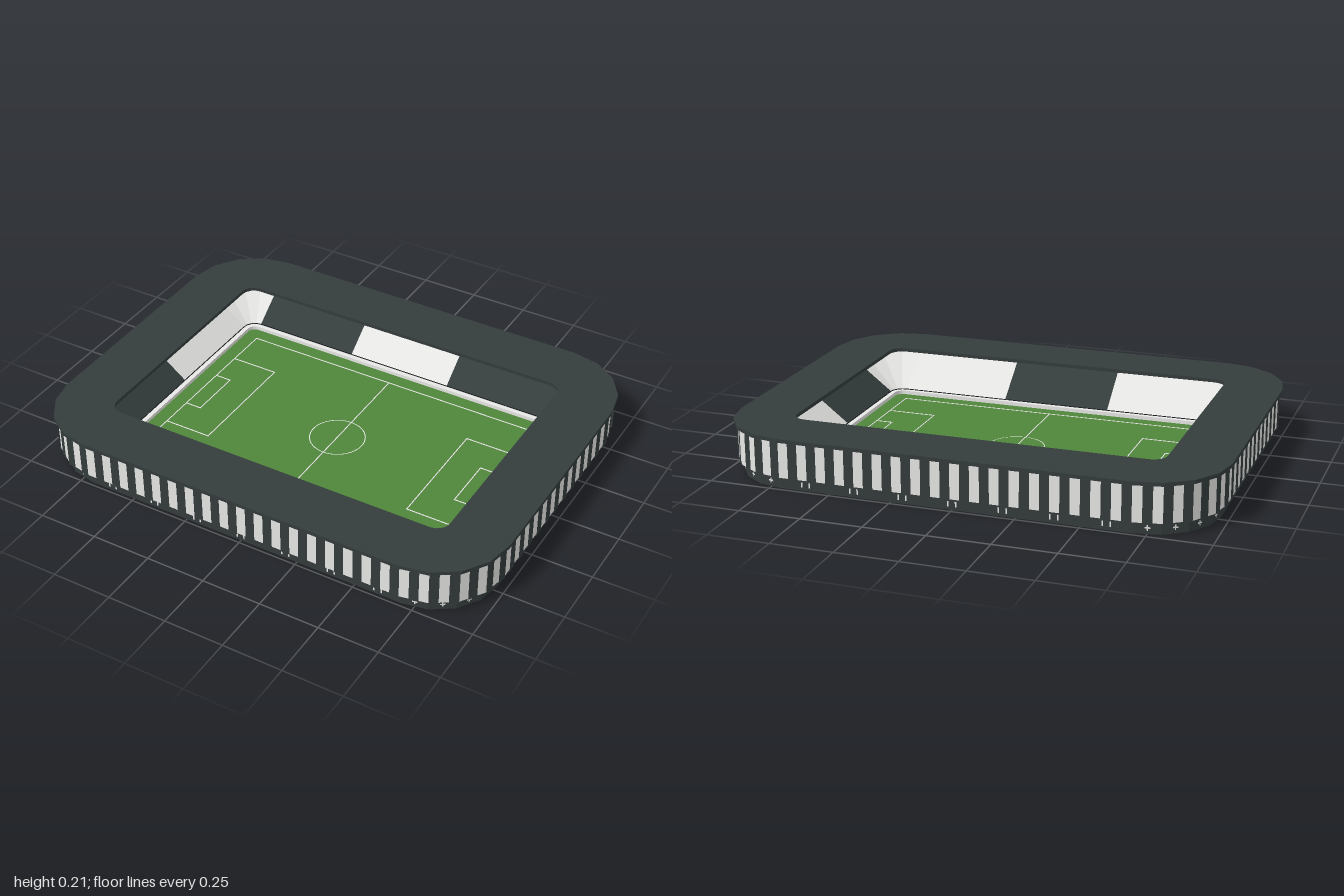
import * as THREE from 'three';
import { mergeGeometries } from 'three/addons/utils/BufferGeometryUtils.js';

const mat = (name, color) =>
  new THREE.MeshStandardMaterial({ name, color, side: THREE.DoubleSide });

// Every ring is an offset r of one core rectangle, so corners stay concentric.
const HX = 0.7, HZ = 0.47, CORNER_STEPS = 4;
const CORNERS = [[-HX, HZ], [HX, HZ], [HX, -HZ], [-HX, -HZ]];
const NORMALS = [[0, 1], [1, 0], [0, -1], [-1, 0]]; // front, right, back, left

// A site is a core point plus an outward direction.
function straightSite(side, t) {
  const a = CORNERS[side], b = CORNERS[(side + 1) % 4], n = NORMALS[side];
  return { x: a[0] + (b[0] - a[0]) * t, z: a[1] + (b[1] - a[1]) * t, nx: n[0], nz: n[1] };
}
function cornerSite(side, t) {
  const c = CORNERS[(side + 1) % 4];
  const k = Math.min(Math.floor(t * CORNER_STEPS + 1e-6), CORNER_STEPS - 1);
  const f = t * CORNER_STEPS - k;
  const dir = (i) => {
    const a = (side + i / CORNER_STEPS) * Math.PI / 2;
    return [Math.sin(a), Math.cos(a)];
  };
  const d0 = dir(k), d1 = dir(k + 1);
  return { x: c[0], z: c[1], nx: d0[0] + (d1[0] - d0[0]) * f, nz: d0[1] + (d1[1] - d0[1]) * f };
}
function cornerSites(side) {
  const out = [];
  for (let i = 0; i <= CORNER_STEPS; i++) out.push(cornerSite(side, i / CORNER_STEPS));
  return out;
}
function fullLoop() {
  const out = [];
  for (let s = 0; s < 4; s++) out.push(straightSite(s, 0), ...cornerSites(s));
  out.push(straightSite(0, 0));
  return out;
}

// Sweep a profile of [offset, height] points along sites, with flat faces.
function loft(sites, profile) {
  const pos = [];
  const at = (s, p) => [s.x + s.nx * p[0], p[1], s.z + s.nz * p[0]];
  for (let i = 0; i + 1 < sites.length; i++) {
    for (let j = 0; j + 1 < profile.length; j++) {
      const a = at(sites[i], profile[j]), b = at(sites[i + 1], profile[j]);
      const c = at(sites[i + 1], profile[j + 1]), d = at(sites[i], profile[j + 1]);
      pos.push(...a, ...b, ...c, ...a, ...c, ...d);
    }
  }
  const g = new THREE.BufferGeometry();
  g.setAttribute('position', new THREE.Float32BufferAttribute(pos, 3));
  g.computeVertexNormals();
  return g;
}
const band = (r0, y0, r1, y1) => [[r0, y0], [r1, y0], [r1, y1], [r0, y1], [r0, y0]];

export function createModel() {
  const dark = mat('charcoal', 0x343c3c);
  const white = mat('white', 0xf4f4f2);
  const seatWhite = mat('seatWhite', 0xe4e4e2);
  const green = mat('grass', 0x4f863a);
  const group = new THREE.Group();
  const add = (name, geometry, material) => {
    const m = new THREE.Mesh(geometry, material);
    m.name = name;
    group.add(m);
    return m;
  };
  const loop = fullLoop();

  // Roof ring, white facade shell and recessed dark base
  add('roof', loft(loop, band(0.055, 0.198, 0.3, 0.213)), dark);
  add('facadeWall', loft(loop, [[0.285, 0.05], [0.285, 0.198]]), white);
  add('baseWall', loft(loop, [[0.265, 0], [0.265, 0.05], [0.284, 0.05]]), dark);

  // Dark facade stripes: second half of each period
  const stripes = [];
  const stripe = (a, b) => stripes.push(loft([a, b], [[0.285, 0.05], [0.29, 0.05], [0.29, 0.198]]));
  for (let s = 0; s < 4; s++) {
    const n = s % 2 ? 12 : 18;
    for (let i = 0; i < n; i++) stripe(straightSite(s, (i + 0.5) / n), straightSite(s, (i + 1) / n));
    for (let i = 0; i < 6; i++) {
      const t = (i + 0.5) / 6;
      const a = cornerSite(s, t), b = cornerSite(s, t + 1 / 12 - 1e-5);
      stripe(a, b);
    }
  }
  add('facadeStripes', mergeGeometries(stripes), dark);

  // Small light marks on both faces of the base
  const marks = [];
  const mark = (site, t, dt, h) => {
    for (const r of [0.2625, 0.2675]) {
      marks.push(loft([site(t - dt), site(t + dt)], [[r, 0.025 - h], [r, 0.025 + h]]));
    }
  };
  for (let s = 0; s < 4; s++) {
    const along = (t) => straightSite(s, t), around = (t) => cornerSite(s, t);
    if (s % 2) {
      for (let i = 0; i < 10; i++) {
        mark(along, (i + 0.5) / 10, 0.003, 0.011);
        mark(along, (i + 0.5) / 10, 0.013, 0.003);
        if (i) mark(along, i / 10, 0.012, 0.002);
      }
    } else {
      for (let i = 0; i < 7; i++) {
        for (const o of [-0.011, 0.011]) mark(along, (i + 0.5) / 7 + o, 0.0022, 0.011);
      }
    }
    for (let i = 0; i < 4; i++) {
      mark(around, (i + 0.5) / 4, 0.006, 0.011);
      mark(around, (i + 0.5) / 4, 0.025, 0.003);
    }
  }
  add('baseMarks', mergeGeometries(marks), white);

  // Sloped stands in alternating blocks, with light corner fans
  const slope = [[0.28, 0.197], [0.056, 0.025]];
  const blocks = [
    ['frontStand', [seatWhite, dark, seatWhite]],
    ['rightStand', [dark, seatWhite]],
    ['backStand', [dark, seatWhite, dark]],
    ['leftStand', [seatWhite, dark]],
  ];
  blocks.forEach(([name, colours], s) => {
    colours.forEach((c, i) => {
      const n = colours.length;
      add(name + (i + 1), loft([straightSite(s, i / n), straightSite(s, (i + 1) / n)], slope), c);
    });
    add('cornerStand' + (s + 1), loft(cornerSites(s), slope), seatWhite);
  });

  // Pitch and its white kerb
  const shape = new THREE.Shape(loop.slice(0, -1).map(
    (p) => new THREE.Vector2(p.x + p.nx * 0.045, -(p.z + p.nz * 0.045))));
  const turf = new THREE.ExtrudeGeometry(shape, { depth: 0.006, bevelEnabled: false });
  add('pitch', turf.rotateX(-Math.PI / 2), green);
  add('kerb', loft(loop, band(0.033, 0.001, 0.053, 0.022)), white);

  // Pitch lines
  const lines = [];
  const W = 0.004;
  const line = (x0, z0, x1, z1) => {
    const g = new THREE.BoxGeometry(Math.abs(x1 - x0) + W, 0.002, Math.abs(z1 - z0) + W);
    lines.push(g.translate((x0 + x1) / 2, 0.008, (z0 + z1) / 2));
  };
  line(0, -0.44, 0, 0.44);
  for (const k of [-1, 1]) {
    line(-0.67, k * 0.44, 0.67, k * 0.44);
    line(k * 0.67, -0.44, k * 0.67, 0.44);
    for (const [x, z] of [[0.465, 0.26], [0.6, 0.115]]) {
      line(k * x, -z, k * x, z);
      for (const e of [-z, z]) line(k * x, e, k * 0.67, e);
    }
  }
  const ring = new THREE.RingGeometry(0.113, 0.117, 48);
  lines.push(ring.rotateX(-Math.PI / 2).translate(0, 0.009, 0));
  add('pitchLines', mergeGeometries(lines), white);

  return group;
}
